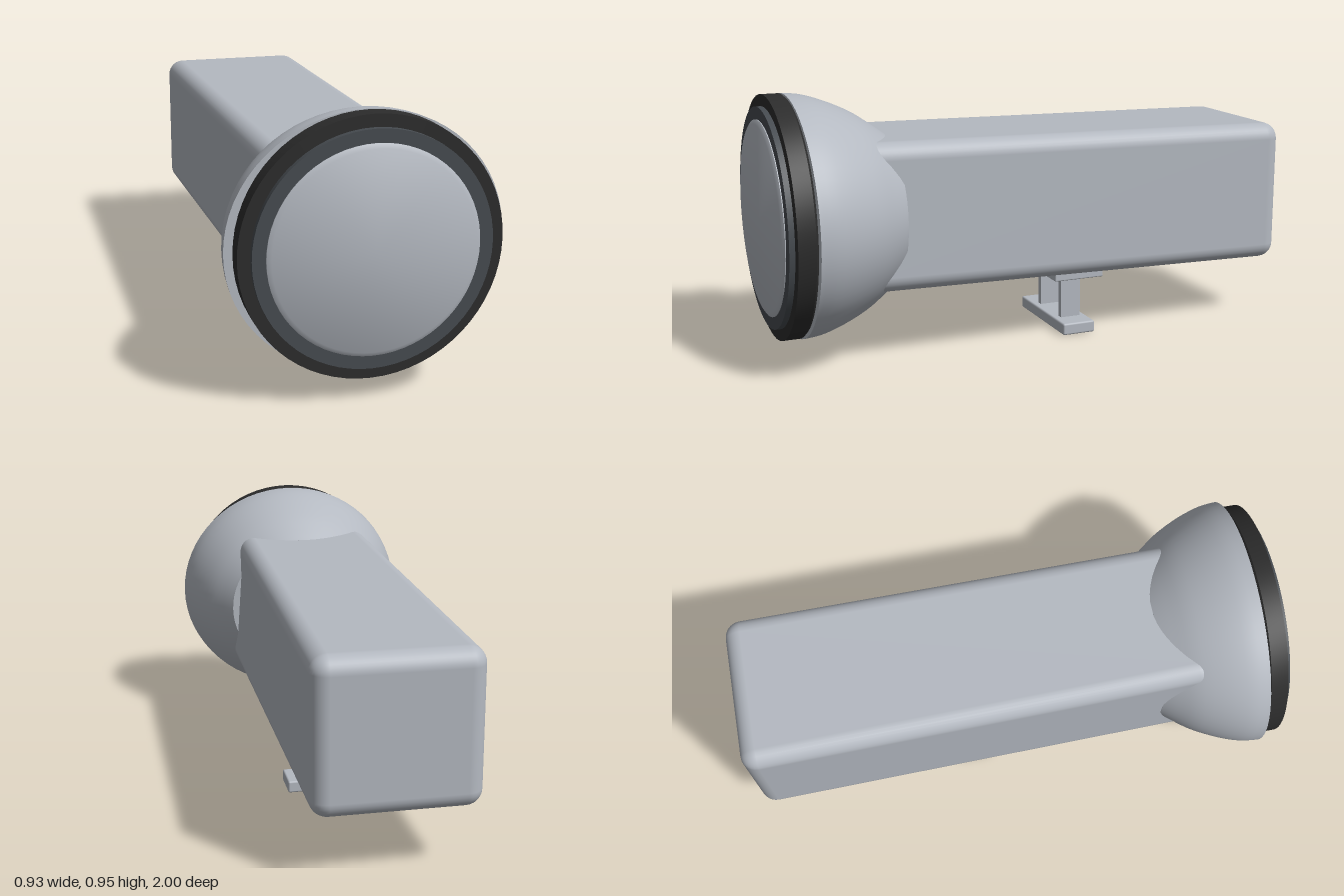
import * as THREE from 'three';
import { toCreasedNormals } from 'three/addons/utils/BufferGeometryUtils.js';
import { RoundedBoxGeometry } from 'three/addons/geometries/RoundedBoxGeometry.js';

const AXIS_Y = 0.515; // height of the lamp head's axis

export function createModel() {
  const group = new THREE.Group();
  const grey = new THREE.MeshStandardMaterial({ name: 'pale grey', color: 0xb4b9c1 });
  const black = new THREE.MeshStandardMaterial({ name: 'black', color: 0x2c2c2c });
  const slate = new THREE.MeshStandardMaterial({ name: 'slate', color: 0x464b50 });

  const add = (name, geometry, material, x = 0, y = 0, z = 0) => {
    const mesh = new THREE.Mesh(geometry, material);
    mesh.name = name;
    mesh.position.set(x, y, z);
    group.add(mesh);
    return mesh;
  };

  // Turned part along z; profile is [radius, z] from back to front
  const turned = (profile) => toCreasedNormals(
    new THREE.LatheGeometry(profile.map(([r, z]) => new THREE.Vector2(r, z)), 64).rotateX(Math.PI / 2), 0.6);

  // Flared head, slightly wider than tall
  const curve = new THREE.SplineCurve([
    [0.298, 0.543], [0.335, 0.59], [0.385, 0.66], [0.43, 0.75], [0.457, 0.83], [0.465, 0.895],
  ].map(([r, z]) => new THREE.Vector2(r, z))).getPoints(16).map((p) => [p.x, p.y]);
  const head = add('head', turned([[0, 0.543], ...curve, [0, 0.895]]), grey, 0, AXIS_Y);
  head.scale.y = 0.94;

  // Stepped front rings and shallow lens
  add('outerRing', turned([[0, 0.89], [0.425, 0.89], [0.437, 0.903], [0.437, 0.965], [0, 0.965]]), black, 0, AXIS_Y);
  add('innerRing', turned([[0, 0.95], [0.395, 0.95], [0.395, 0.985], [0, 0.985]]), slate, 0, AXIS_Y);
  add('lens', turned([[0, 0.98], [0.35, 0.98], [0.35, 0.988], [0.335, 0.997], [0, 1]]), grey, 0, AXIS_Y);

  // Long rounded body, with its section drifting a little from back to front
  const body = new RoundedBoxGeometry(1, 1, 1.72, 4, 0.06);
  const pos = body.attributes.position;
  const { lerp } = THREE.MathUtils;
  // the unit section is resized around its rounded edges
  const stretch = (v, size) => {
    const inner = 0.44, r = 0.06;
    const a = Math.abs(v);
    const half = size / 2;
    return Math.sign(v) * (a > inner ? half - r + (a - inner) : a / inner * (half - r));
  };
  for (let i = 0; i < pos.count; i++) {
    const z = pos.getZ(i) - 0.14;
    const t = (z + 1) / 1.6;
    const bottom = lerp(0.225, 0.267, t), top = lerp(0.765, 0.795, t);
    const v = stretch(pos.getY(i), top - bottom);
    const low = 0.5 - v / (top - bottom);
    const left = lerp(-0.31, -0.295, t);
    const right = lerp(0.262, lerp(0.25, 0.288, low), t);
    pos.setXYZ(i, (left + right) / 2 + stretch(pos.getX(i), right - left), (top + bottom) / 2 + v, z);
  }
  add('body', body, grey);

  // Small stand: mounting plate, two posts and foot
  add('mountPlate', new RoundedBoxGeometry(0.4, 0.04, 0.2, 2, 0.005), grey, 0, 0.235, -0.16);
  for (const [name, x] of [['rightPost', -0.082], ['leftPost', 0.107]]) {
    add(name, new THREE.BoxGeometry(0.024, 0.19, 0.08), grey, x, 0.13, -0.162);
  }
  add('foot', new RoundedBoxGeometry(0.405, 0.045, 0.13, 2, 0.007), grey, 0, 0.0225, -0.16);

  return group;
}
